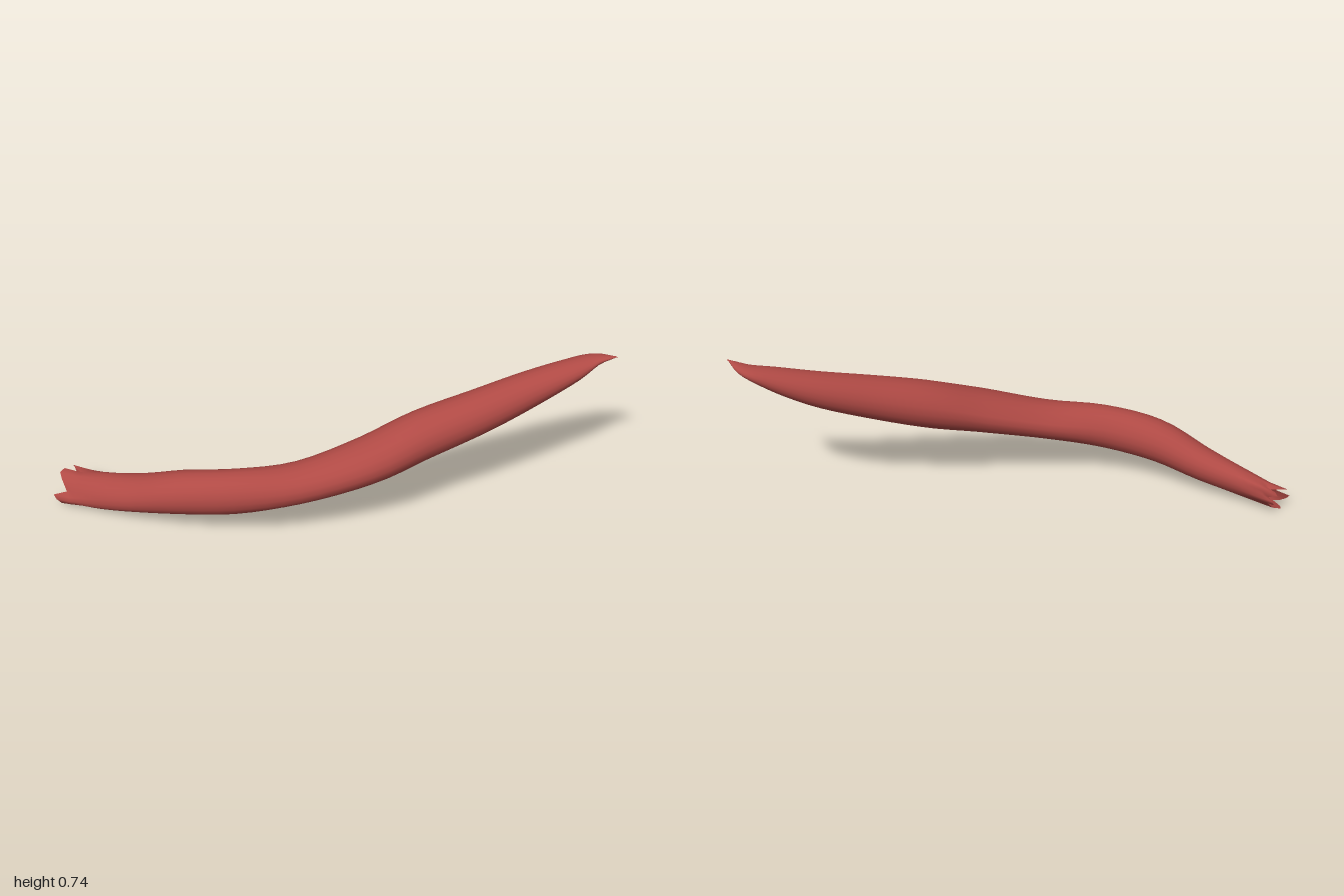
import * as THREE from 'three';

// Centre line, and half width / half height / sideways tilt of each section
const CENTRES = [
  [-0.95, 0.077, 0.74], [-0.8, 0.105, 0.712], [-0.6, 0.155, 0.66], [-0.38, 0.226, 0.595],
  [-0.15, 0.268, 0.478], [0.06, 0.306, 0.3], [0.26, 0.38, 0.07], [0.4, 0.45, -0.14],
  [0.56, 0.52, -0.355], [0.7, 0.59, -0.55], [0.82, 0.657, -0.695], [0.9, 0.706, -0.78], [0.985, 0.744, -0.81],
];
const SIZES = [
  [0.078, 0.06, 0.04], [0.075, 0.072, 0.025], [0.088, 0.085, 0.01], [0.097, 0.103, 0],
  [0.097, 0.105, 0], [0.11, 0.09, 0], [0.128, 0.1, 0], [0.119, 0.113, 0],
  [0.106, 0.103, 0], [0.089, 0.084, 0], [0.069, 0.056, 0], [0.045, 0.026, 0], [0.003, 0.003, 0],
];
const SIDES = 20, RINGS = 48;
// How far each strand of the frayed end reaches out
const FRAY = [0.035, 0.05, -0.01, 0.0, 0.03, 0.055, 0.045, -0.015, 0.02, 0.035, -0.01, 0.015, 0.02, -0.02, 0.0, 0.01, 0.03, 0.02, -0.02, 0.01];

const curve = (pts) => new THREE.CatmullRomCurve3(pts.map((p) => new THREE.Vector3(...p)), false, 'catmullrom', 0.5);
const centreLine = curve(CENTRES);
const sizeLine = curve(SIZES);

// One ring of points at t, scaled about its centre and shifted along the limb
function ring(t, scale = 1, shift = () => 0) {
  const c = centreLine.getPoint(t), s = sizeLine.getPoint(t);
  const dir = centreLine.getTangent(t).setY(0).normalize();
  const side = new THREE.Vector3(-dir.z, 0, dir.x);
  const fray = Math.max(0, 1 - t / 0.09);
  const fold = Math.exp(-(((t - 0.45) / 0.13) ** 2));
  const points = [];
  for (let j = 0; j < SIDES; j++) {
    const a = (j / SIDES) * Math.PI * 2;
    // shallow crease along the upper back, grooves between the strands
    const crease = 0.13 * fold * Math.exp(-(((a - 2.5) / 0.3) ** 2));
    const groove = FRAY[j] < 0 ? 0.22 * fray : 0;
    const r = scale * (1 - crease - groove);
    const p = c.clone().addScaledVector(side, s.x * r * Math.cos(a));
    p.y += r * (s.y * Math.sin(a) - s.z * Math.cos(a));
    points.push(p.addScaledVector(dir, shift(j)));
  }
  return points;
}

// Skin a list of rings
function loft(rings) {
  const index = [];
  for (let i = 0; i < rings.length - 1; i++) {
    for (let j = 0; j < SIDES; j++) {
      const k = (j + 1) % SIDES;
      const a = i * SIDES + j, b = a + SIDES, c = i * SIDES + k, d = c + SIDES;
      index.push(a, b, c, b, d, c);
    }
  }
  const g = new THREE.BufferGeometry().setFromPoints(rings.flat());
  g.setIndex(index);
  g.computeVertexNormals();
  return g;
}

export function createModel() {
  const group = new THREE.Group();
  group.name = 'bentStrand';
  const red = new THREE.MeshStandardMaterial({ color: 0xb04a45 });
  red.name = 'muscleRed';

  const reach = (j) => -FRAY[j];

  // Tapered body from the frayed end to the pointed tip
  const rings = [];
  for (let i = 0; i <= RINGS; i++) rings.push(ring(i / RINGS, 1, i === 0 ? reach : undefined));
  const body = new THREE.Mesh(loft(rings), red);
  body.name = 'body';

  // Hollow inside the frayed end
  const hollow = new THREE.Mesh(loft([
    ring(0.05, 0.02), ring(0.03, 0.5), ring(0, 1, reach),
  ].reverse()), red);
  hollow.geometry.index.array.reverse();
  hollow.geometry.computeVertexNormals();
  hollow.name = 'frayedEndHollow';

  // Close the tip
  const tip = new THREE.Mesh(loft([ring(1), ring(1, 0.01, () => 0.01)]), red);
  tip.name = 'tip';

  group.add(body, hollow, tip);
  return group;
}
